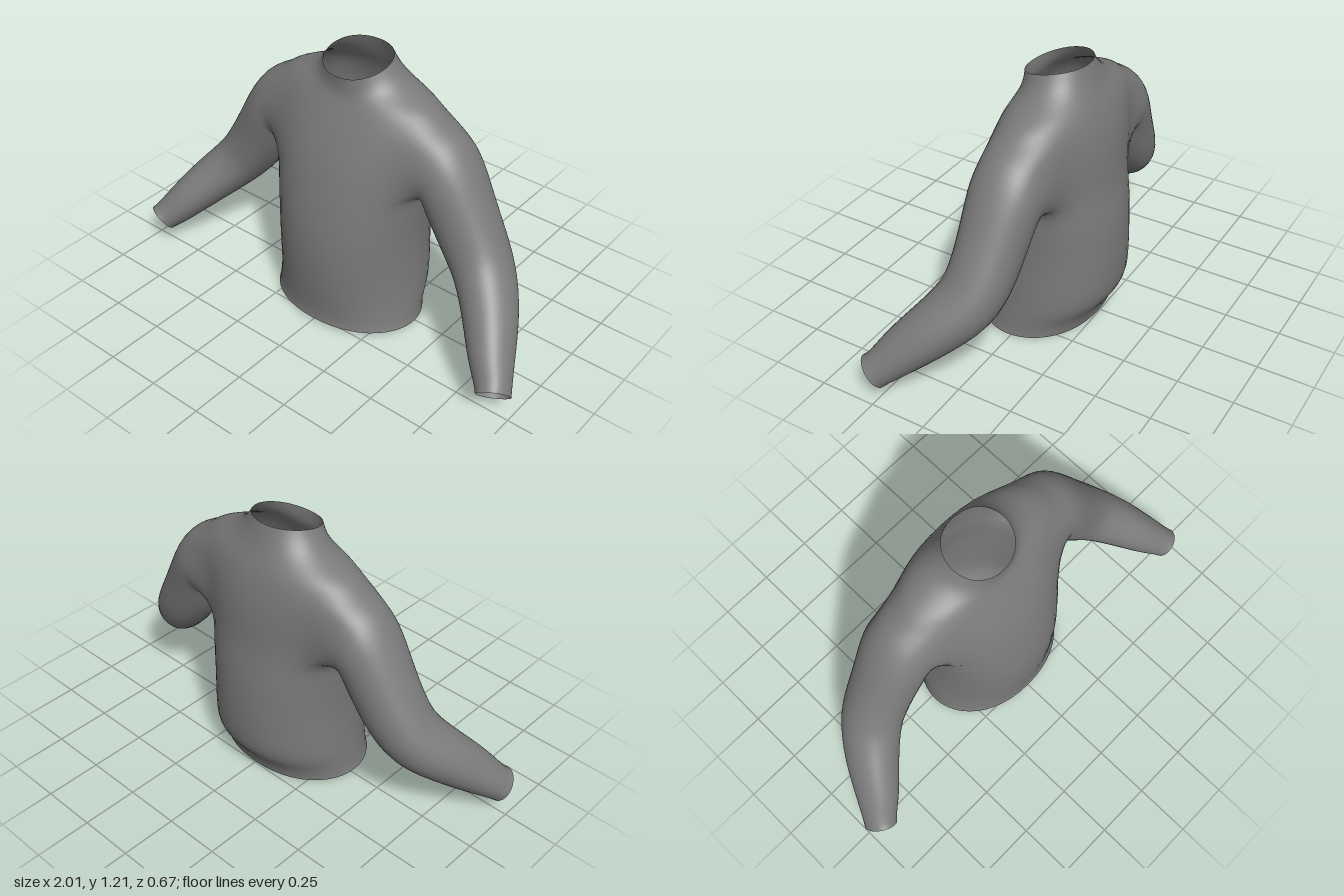
import * as THREE from 'three';

const COLS = 48;     // columns round the body
const SUB = 3;       // rows between two key sections
const HALF = 6;      // half width of the armhole, in columns

// Body sections: front y, back y, half width, front z, back z
const BODY = [
  [0.02, 0.005, 0.355, 0.285, -0.245],
  [0.07, 0.07, 0.35, 0.285, -0.27],
  [0.13, 0.13, 0.345, 0.29, -0.315],
  [0.21, 0.21, 0.34, 0.298, -0.337],
  [0.40, 0.40, 0.335, 0.306, -0.337],
  [0.55, 0.55, 0.348, 0.29, -0.327],
  [0.68, 0.68, 0.362, 0.262, -0.303],
  [0.80, 0.80, 0.375, 0.23, -0.296],
  [0.92, 0.92, 0.40, 0.18, -0.28],
  [1.01, 1.01, 0.41, 0.135, -0.255],
  [1.055, 1.06, 0.35, 0.112, -0.235],
  [1.08, 1.10, 0.265, 0.103, -0.215],
  [1.105, 1.15, 0.19, 0.10, -0.195],
  [1.152, 1.212, 0.147, 0.10, -0.172],
];
const HOLE = [6 * SUB, 9 * SUB]; // armhole rows

// Sleeve sections: inner x, y, outer x, y, centre z, depth radius
const SLEEVE = [
  [0.375, 0.665, 0.485, 0.975, -0.06, 0.16],
  [0.385, 0.645, 0.565, 0.885, -0.055, 0.158],
  [0.42, 0.565, 0.66, 0.71, -0.05, 0.145],
  [0.505, 0.44, 0.735, 0.575, -0.04, 0.14],
  [0.59, 0.345, 0.79, 0.485, -0.01, 0.137],
  [0.70, 0.245, 0.87, 0.385, 0.085, 0.12],
  [0.79, 0.165, 0.94, 0.265, 0.19, 0.10],
  [0.85, 0.115, 0.985, 0.185, 0.25, 0.08],
  [0.885, 0.09, 0.998, 0.165, 0.28, 0.077],
];

const V = (x, y, z) => new THREE.Vector3(x, y, z);
const spline = (pts) => new THREE.CatmullRomCurve3(pts).getPoints((pts.length - 1) * SUB);

export function createModel() {
  const points = [];
  const fixed = new Set(); // open edges keep their place
  const quad = (list, a, b, c, d, flip) =>
    flip ? list.push(a, c, b, b, c, d) : list.push(a, b, c, b, d, c);

  // Body: one spline per column through the key sections
  const rows = (BODY.length - 1) * SUB;
  const id = (r, c) => ((c + COLS) % COLS) * (rows + 1) + r;
  for (let c = 0; c < COLS; c++) {
    const a = (c / COLS) * Math.PI * 2, co = Math.cos(a), si = Math.sin(a);
    points.push(...spline(BODY.map(([yf, yb, w, zf, zb]) => {
      const y = yb + (yf - yb) * Math.pow((1 + si) / 2, 1.5);
      const x = Math.sign(co) * Math.pow(Math.abs(co), 0.93) * w;
      return V(x, y, (zf + zb) / 2 + si * (zf - zb) / 2);
    })));
    fixed.add(id(0, c)).add(id(rows, c));
  }
  const body = [];
  const inHole = (r, c) => {
    const k = c < COLS / 4 ? c : c < COLS * 0.75 ? c - COLS / 2 : c - COLS;
    return r >= HOLE[0] && r < HOLE[1] && k >= -HALF && k < HALF;
  };
  for (let c = 0; c < COLS; c++)
    for (let r = 0; r < rows; r++)
      if (!inHole(r, c)) quad(body, id(r, c), id(r + 1, c), id(r, c + 1), id(r + 1, c + 1));

  // Sleeve: grows out of the armhole edge; side is 1 for left, -1 for right
  const makeSleeve = (side) => {
    const col = (k) => (side > 0 ? k : COLS / 2 - k);
    const loop = [];
    for (let k = -HALF; k < HALF; k++) loop.push(id(HOLE[0], col(k)));
    for (let r = HOLE[0]; r < HOLE[1]; r++) loop.push(id(r, col(HALF)));
    for (let k = HALF; k > -HALF; k--) loop.push(id(HOLE[1], col(k)));
    for (let r = HOLE[1]; r > HOLE[0]; r--) loop.push(id(r, col(-HALF)));

    const centres = SLEEVE.map(([ix, iy, ox, oy, z]) => V((ix + ox) / 2, (iy + oy) / 2, z));
    centres.unshift(V(0.35, 0.85, -0.06));
    const yLow = BODY[6][0], yHigh = BODY[9][0];
    const lines = loop.map((index) => {
      const p = points[index].clone();
      p.x *= side;
      const angle = Math.atan2((p.z + 0.05) / 0.14, (p.y - (yLow + yHigh) / 2) / ((yHigh - yLow) / 2));
      const path = SLEEVE.map(([ix, iy, ox, oy, , depth], i) => {
        const t = (centres[i + 2] || centres[i + 1]).clone().sub(centres[i]);
        const u = V((ox - ix) / 2, (oy - iy) / 2, 0);
        const v = t.cross(u).normalize().multiplyScalar(depth);
        return centres[i + 1].clone().addScaledVector(u, Math.cos(angle)).addScaledVector(v, Math.sin(angle));
      });
      const ids = [index];
      spline([p, ...path]).slice(1).forEach((q) => {
        q.x *= side;
        ids.push(points.push(q) - 1);
      });
      fixed.add(ids[ids.length - 1]);
      return ids;
    });
    const faces = [];
    lines.forEach((line, i) => {
      const next = lines[(i + 1) % lines.length];
      for (let j = 0; j < line.length - 1; j++)
        quad(faces, line[j], line[j + 1], next[j], next[j + 1], side < 0);
    });
    return faces;
  };
  const left = makeSleeve(1), right = makeSleeve(-1);
  const all = [...body, ...left, ...right];

  // Relax the cloth so that sleeves and body flow together
  const near = points.map(() => new Set());
  for (let i = 0; i < all.length; i += 3)
    for (let e = 0; e < 3; e++) {
      const a = all[i + e], b = all[i + (e + 1) % 3];
      near[a].add(b);
      near[b].add(a);
    }
  for (let pass = 0; pass < 4; pass++) {
    const moved = points.map((p, i) => {
      if (fixed.has(i) || !near[i].size) return p.clone();
      const mean = V(0, 0, 0);
      near[i].forEach((n) => mean.add(points[n]));
      return p.clone().lerp(mean.divideScalar(near[i].size), 0.5);
    });
    moved.forEach((p, i) => points[i].copy(p));
  }

  // Shared normals keep the joins between the parts smooth
  const whole = new THREE.BufferGeometry().setFromPoints(points);
  whole.setIndex(all);
  whole.computeVertexNormals();

  const greyKnit = new THREE.MeshStandardMaterial({ color: 0x7a7a7a, side: THREE.DoubleSide });
  greyKnit.name = 'greyKnit';
  const group = new THREE.Group();
  group.name = 'sweater';
  for (const [name, faces] of [['body', body], ['leftSleeve', left], ['rightSleeve', right]]) {
    const geometry = new THREE.BufferGeometry();
    geometry.setAttribute('position', whole.getAttribute('position'));
    geometry.setAttribute('normal', whole.getAttribute('normal'));
    geometry.setIndex(faces);
    const mesh = new THREE.Mesh(geometry, greyKnit);
    mesh.name = name;
    group.add(mesh);
  }
  return group;
}
